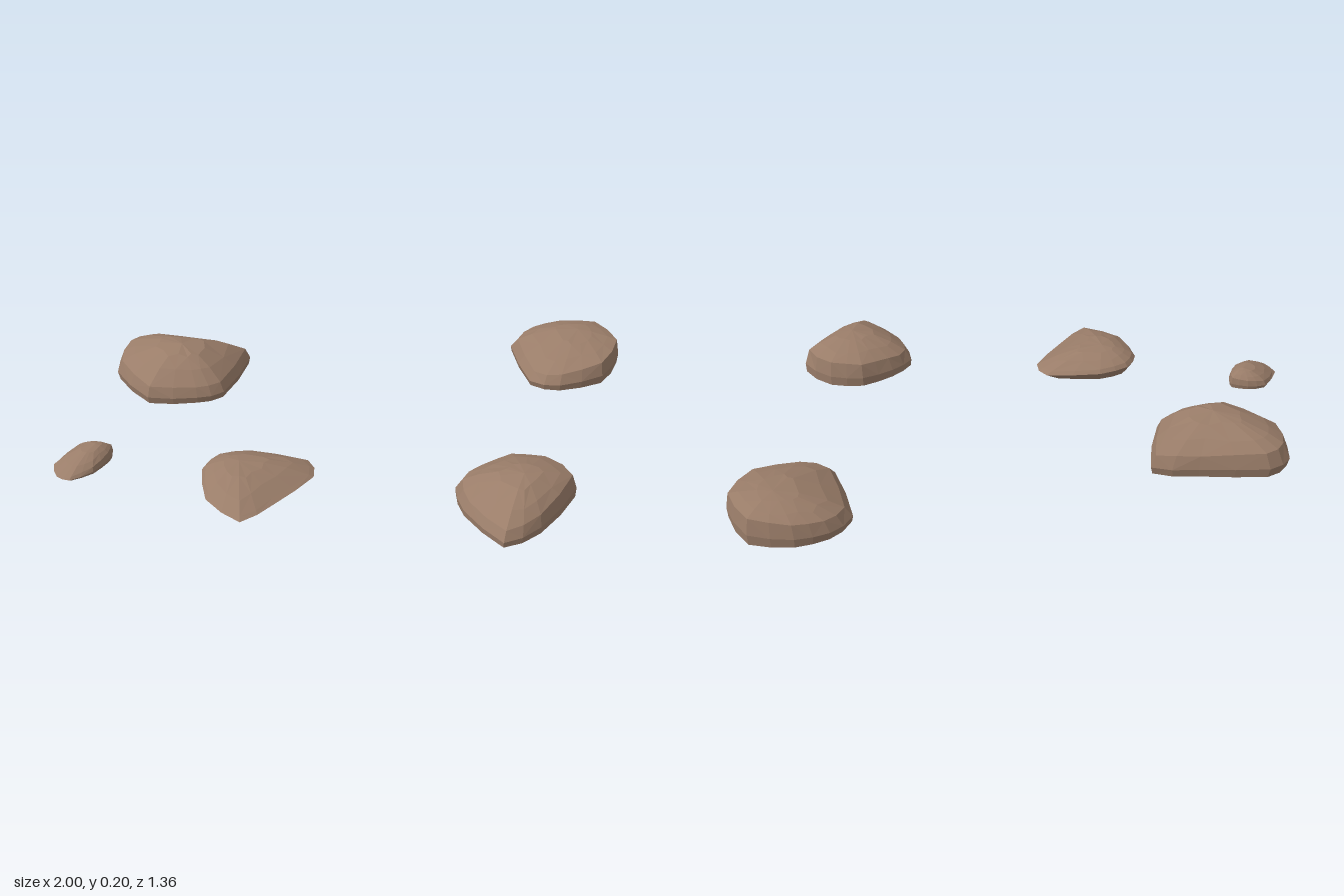
import * as THREE from 'three';

// Each stone: plan outline (x, z pairs, clockwise from above), peak [x, z], bottom and top heights,
// shoulder height (0..1) and its slope along x and z, foot inset and height of the widest rim.
const stones = [
  { name: 'largeStone', peak: [-0.64, -0.23], y0: 0.04, y1: 0.198, shoulder: 0.46, slope: [-0.25, -0.3], foot: 0.97, rim: 0.4,
    outline: [-0.89, -0.36, -0.81, -0.42, -0.57, -0.4, -0.41, -0.37, -0.47, -0.12, -0.56, -0.07, -0.74, -0.05, -0.89, -0.21] },
  { name: 'backStone', peak: [0.84, -0.54], y0: 0.04, y1: 0.163, shoulder: 0.67, slope: [0.95, -0.4], foot: 0.98, rim: 0.4,
    outline: [0.59, -0.56, 0.66, -0.65, 0.77, -0.685, 0.92, -0.66, 1, -0.51, 0.93, -0.35, 0.77, -0.28, 0.66, -0.31] },
  { name: 'middleStone', peak: [-0.33, 0.38], y0: 0.025, y1: 0.115, shoulder: 0.5, slope: [-0.6, -0.5], foot: 0.8, rim: 0.75,
    outline: [-0.46, 0.37, -0.42, 0.29, -0.31, 0.25, -0.11, 0.27, -0.08, 0.36, -0.19, 0.52, -0.29, 0.63, -0.42, 0.53] },
  { name: 'frontStone', peak: [0.62, 0.45], y0: 0.043, y1: 0.177, shoulder: 0.54, slope: [0.5, -0.6], foot: 0.99, rim: 0.4,
    outline: [0.4, 0.4, 0.47, 0.32, 0.58, 0.26, 0.7, 0.275, 0.8, 0.38, 0.68, 0.59, 0.56, 0.675, 0.43, 0.52] },
  { name: 'smallStone', peak: [-0.86, 0.255], y0: 0, y1: 0.064, shoulder: 0.5, slope: [1.7, -1.3], foot: 0.95, rim: 0.4,
    outline: [-1, 0.31, -0.94, 0.21, -0.87, 0.2, -0.81, 0.22, -0.81, 0.27, -0.85, 0.35, -0.92, 0.4, -0.97, 0.38] },
];

// Small seeded random for chipped facets
function seeded(seed) {
  return () => {
    seed = (seed * 16807) % 2147483647;
    return seed / 2147483647 - 0.5;
  };
}

// Closed outline with one extra point between each pair of given points
function sampleOutline(flat) {
  const points = [];
  for (let i = 0; i < flat.length; i += 2) points.push(new THREE.Vector3(flat[i], 0, flat[i + 1]));
  const curve = new THREE.CatmullRomCurve3(points, true, 'catmullrom', 0.3);
  return Array.from({ length: flat.length }, (_, i) => curve.getPoint(i / flat.length));
}

function stoneGeometry({ outline, peak, y0, y1, shoulder, slope, foot, rim }, seed) {
  const rand = seeded(seed);
  const ring = sampleOutline(outline);
  const n = ring.length;
  const positions = [];
  const index = [];

  // Rings from the foot, over the widest rim and shoulder, shrinking towards the peak
  const scales = [foot, 1, 0.92, 0.68, 0.36];
  scales.forEach((scale, r) => {
    for (const p of ring) {
      const dx = p.x - peak[0], dz = p.z - peak[1];
      const side = shoulder + slope[0] * dx + slope[1] * dz;
      const k = r < 2 ? scale : scale + rand() * (r === 2 ? 0.04 : 0.1);
      const dome = Math.max(0, 1 - (k / 0.92) ** 2);
      const rise = r === 0 ? 0 : r === 1 ? side * rim : side + (1 - side) * dome;
      positions.push(peak[0] + dx * k, y0 + (y1 - y0) * rise, peak[1] + dz * k);
    }
  });

  // Walls, with alternating diagonals so the facets look irregular
  for (let r = 0; r < scales.length - 1; r++) {
    for (let i = 0; i < n; i++) {
      const a = r * n + i, b = r * n + (i + 1) % n, c = a + n, d = b + n;
      if ((i + r) % 2) index.push(b, a, c, b, c, d);
      else index.push(b, a, d, a, c, d);
    }
  }

  // Peak and flat underside
  const top = scales.length * n;
  positions.push(peak[0], y1, peak[1], peak[0], y0, peak[1]);
  for (let i = 0; i < n; i++) {
    const j = (i + 1) % n;
    index.push(top - n + j, top - n + i, top);
    index.push(top + 1, i, j);
  }

  const geometry = new THREE.BufferGeometry();
  geometry.setAttribute('position', new THREE.Float32BufferAttribute(positions, 3));
  geometry.setIndex(index);
  geometry.computeVertexNormals();
  return geometry;
}

export function createModel() {
  const group = new THREE.Group();
  group.name = 'scatteredStones';
  const material = new THREE.MeshStandardMaterial({ color: 0x9a7d69, flatShading: true });
  stones.forEach((stone, i) => {
    const mesh = new THREE.Mesh(stoneGeometry(stone, 101 + i * 37), material);
    mesh.name = stone.name;
    group.add(mesh);
  });
  return group;
}
